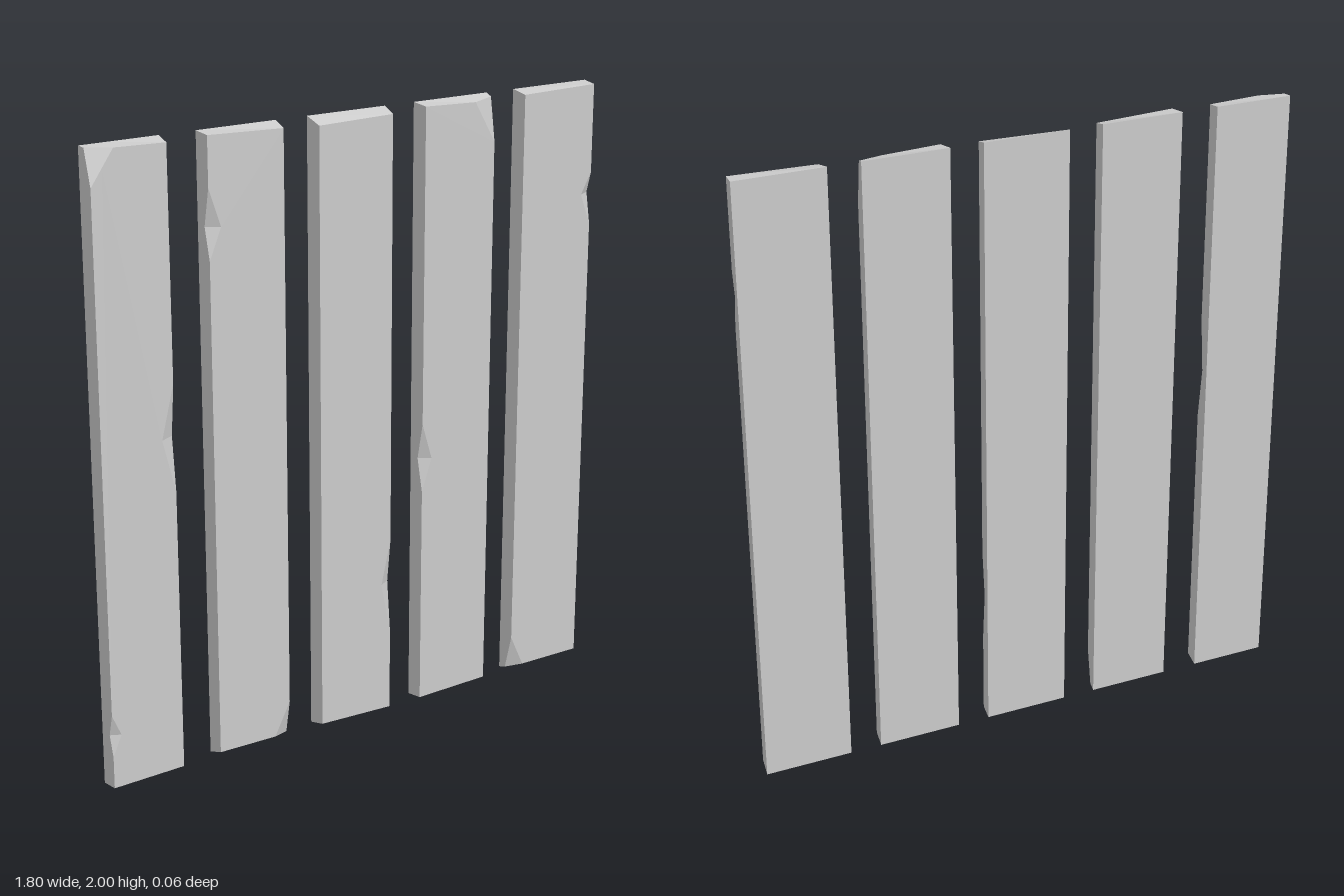
import * as THREE from 'three';

const HALF = 0.028; // half the plank thickness

// x0/x1: back edges, bottom/top: front heights at the left and right corner, inset: front side bevel
// nicks: [side, low, middle, high, inward cut, depth share]; chips: [corner (BL BR TR TL), width, height]
const PLANKS = [
  { x0: -0.9, x1: -0.645, bottom: [0.004, 0.01], top: [1.997, 1.99], inset: 0.006,
    nicks: [[1, 0.93, 1.1, 1.27, 0.042, 0.4], [-1, 0.11, 0.18, 0.25, 0.03, 0.3]], chips: [[3, 0.075, 0.11]] },
  { x0: -0.525, x1: -0.257, bottom: [0.02, 0.018], top: [1.995, 1.986], inset: 0.006,
    nicks: [[-1, 1.62, 1.72, 1.84, 0.04, 0.4]], chips: [[1, 0.055, 0.11]] },
  { x0: -0.148, x1: 0.13, bottom: [0.014, 0.006], top: [1.979, 1.985], inset: 0.008,
    nicks: [[1, 0.28, 0.45, 0.6, 0.034, 0.4]], chips: [] },
  { x0: 0.236, x1: 0.511, bottom: [0.006, 0.013], top: [1.994, 1.985], inset: 0.007,
    nicks: [[-1, 0.74, 0.85, 0.97, 0.036, 0.4]], chips: [[2, 0.075, 0.13]] },
  { x0: 0.614, x1: 0.9, bottom: [0.018, 0.018], top: [1.99, 1.996], inset: 0.006,
    nicks: [[1, 1.54, 1.64, 1.71, 0.038, 0.4]], chips: [[0, 0.05, 0.11]] },
];

const V = (x, y, z) => new THREE.Vector3(x, y, z);
const mix = (a, b, t) => a.clone().lerp(b, t);

// Walks round the outline; every column holds a front, a middle and a back point
function plankColumns({ x0, x1, bottom, top, inset, nicks, chips }) {
  const l = x0 + inset, r = x1 - inset;
  const front = [V(l, bottom[0], HALF), V(r, bottom[1], HALF), V(r, top[1], HALF), V(l, top[0], HALF)];
  const back = [V(x0, 0, -HALF), V(x1, 0, -HALF), V(x1, 2, -HALF), V(x0, 2, -HALF)];
  const columns = [];
  const add = (f, m, b) => columns.push({ f, m, b });

  for (let k = 0; k < 4; k++) {
    const next = (k + 1) % 4, prev = (k + 3) % 4;
    const chip = chips.find((c) => c[0] === k);
    if (chip) {
      // Broken corner: one slanted facet
      const along = (to) => {
        const size = (to % 2 === k % 2 ? 0 : Math.abs(front[to].x - front[k].x) > 0.1 ? chip[1] : chip[2]);
        const t = size / front[k].distanceTo(front[to]);
        return [mix(front[k], front[to], t), mix(back[k], back[to], t)];
      };
      const [p, pb] = along(prev), [q, qb] = along(next);
      add(p, p, pb);
      add(mix(p, q, 0.5), mix(front[k], back[k], 0.5), back[k]);
      add(q, q, qb);
    } else add(front[k], front[k], back[k]);

    // Nicks along the long edges
    const side = k === 1 ? 1 : k === 3 ? -1 : 0;
    const list = nicks.filter((n) => n[0] === side).sort((a, b) => side * (a[2] - b[2]));
    for (const [, low, middle, high, cut, depth] of list) {
      const at = (y) => {
        const t = (y - front[k].y) / (front[next].y - front[k].y);
        return [mix(front[k], front[next], t), mix(back[k], back[next], t)];
      };
      const [a, ab] = at(side > 0 ? low : high);
      const [c, cb] = at(middle);
      const [e, eb] = at(side > 0 ? high : low);
      add(a, a, ab);
      add(V(c.x - side * cut, c.y, HALF), mix(c, cb, depth), cb);
      add(e, e, eb);
    }
  }
  return columns;
}

function plankGeometry(spec) {
  const columns = plankColumns(spec);
  const positions = [];
  const tri = (a, b, c) => {
    const area = b.clone().sub(a).cross(c.clone().sub(a)).length();
    if (area > 1e-8) for (const p of [a, b, c]) positions.push(p.x, p.y, p.z);
  };
  // Rim: chipped band, then the plain edge behind it
  columns.forEach((i, n) => {
    const j = columns[(n + 1) % columns.length];
    for (const [u, w] of [['f', 'm'], ['m', 'b']]) {
      tri(i[u], i[w], j[w]);
      tri(i[u], j[w], j[u]);
    }
  });
  // Front and back faces
  const cap = (key, flip) => {
    const pts = columns.map((c) => c[key]);
    const flat = pts.map((p) => new THREE.Vector2(p.x, p.y));
    for (const [a, b, c] of THREE.ShapeUtils.triangulateShape(flat, [])) {
      const ccw = (flat[b].x - flat[a].x) * (flat[c].y - flat[a].y) - (flat[b].y - flat[a].y) * (flat[c].x - flat[a].x) > 0;
      if (ccw !== flip) tri(pts[a], pts[b], pts[c]);
      else tri(pts[a], pts[c], pts[b]);
    }
  };
  cap('f', false);
  cap('b', true);
  const geometry = new THREE.BufferGeometry();
  geometry.setAttribute('position', new THREE.Float32BufferAttribute(positions, 3));
  geometry.computeVertexNormals();
  return geometry;
}

export function createModel() {
  const group = new THREE.Group();
  group.name = 'woodenPlanks';
  const material = new THREE.MeshStandardMaterial({ color: 0xcccccc, flatShading: true });
  PLANKS.forEach((spec, i) => {
    const plank = new THREE.Mesh(plankGeometry(spec), material);
    plank.name = `plank${i + 1}`;
    group.add(plank);
  });
  return group;
}
